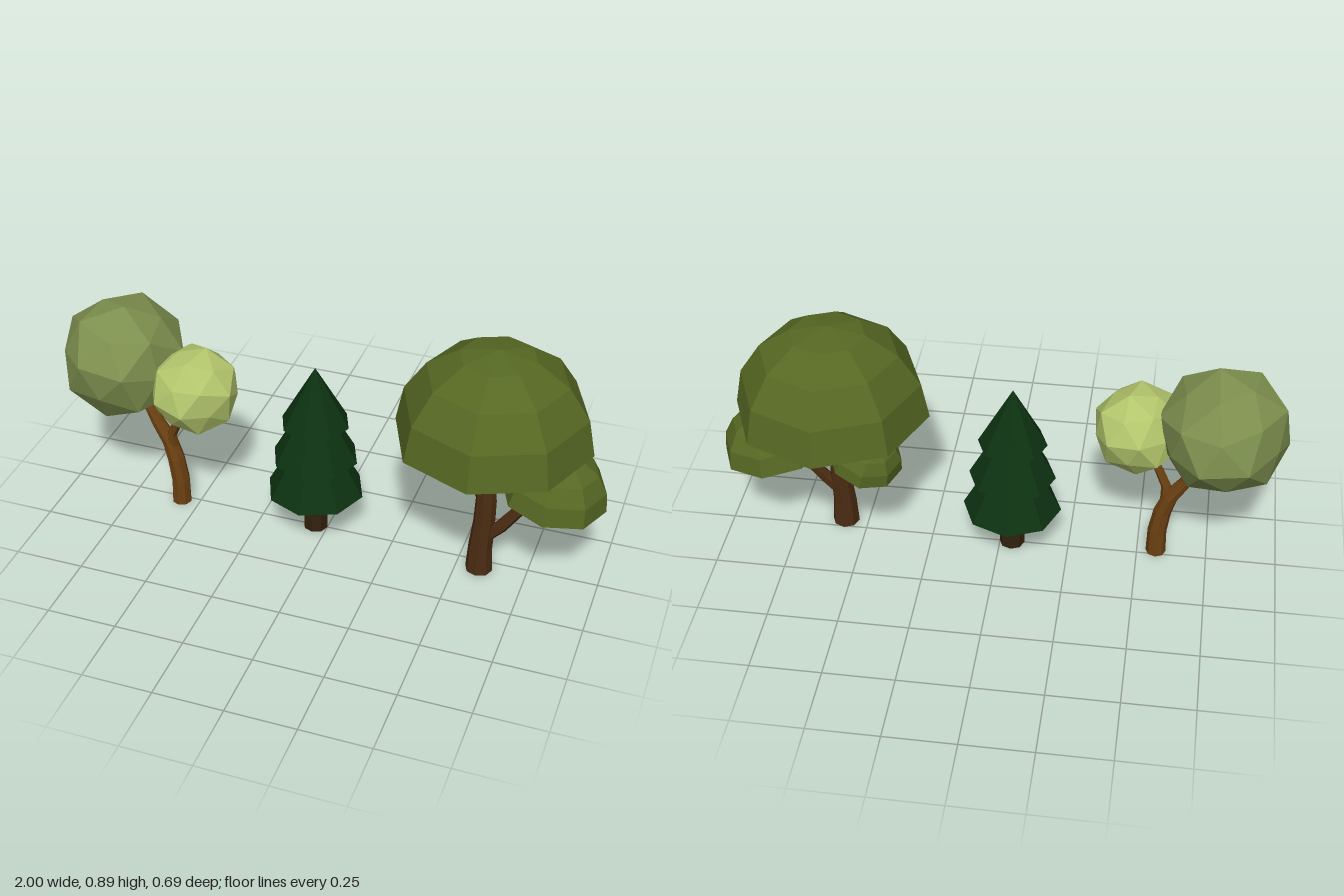
import * as THREE from 'three';
import { ConvexGeometry } from 'three/addons/geometries/ConvexGeometry.js';

function material(name, color, side = THREE.FrontSide) {
  const m = new THREE.MeshStandardMaterial({ color, flatShading: true, side });
  m.name = name;
  return m;
}

function part(name, geometry, mat, x = 0, y = 0, z = 0) {
  const mesh = new THREE.Mesh(geometry, mat);
  mesh.name = name;
  mesh.position.set(x, y, z);
  return mesh;
}

// Tapered faceted limb through points [x, y, z, radius], capped at both ends
function limbGeometry(points, sides = 8) {
  const centres = points.map(p => new THREE.Vector3(p[0], p[1], p[2]));
  const up = new THREE.Vector3(0, 1, 0);
  const last = points.length - 1;
  const pos = [], index = [];
  centres.forEach((c, k) => {
    const tangent = centres[Math.min(k + 1, last)].clone().sub(centres[Math.max(k - 1, 0)]).normalize();
    const q = new THREE.Quaternion().setFromUnitVectors(up, tangent);
    for (let i = 0; i < sides; i++) {
      const a = (i / sides) * Math.PI * 2;
      const v = new THREE.Vector3(Math.cos(a), 0, -Math.sin(a)).multiplyScalar(points[k][3]);
      pos.push(...v.applyQuaternion(q).add(c).toArray());
    }
  });
  const bottom = pos.length / 3, top = bottom + 1;
  pos.push(...centres[0].toArray(), ...centres[last].toArray());
  for (let i = 0; i < sides; i++) {
    const j = (i + 1) % sides;
    for (let k = 0; k < last; k++) {
      const a = k * sides, b = a + sides;
      index.push(a + i, a + j, b + j, a + i, b + j, b + i);
    }
    index.push(bottom, j, i, top, last * sides + i, last * sides + j);
  }
  const g = new THREE.BufferGeometry();
  g.setAttribute('position', new THREE.Float32BufferAttribute(pos, 3));
  g.setIndex(index);
  const flat = g.toNonIndexed();
  flat.computeVertexNormals();
  return flat;
}

// Faceted leaf ball: dodecahedron corners plus slightly raised face centres
function leafBall(radius) {
  const t = (1 + Math.sqrt(5)) / 2, pts = [];
  const add = (x, y, z, r) => pts.push(new THREE.Vector3(x, y, z).setLength(r));
  for (const a of [-1, 1]) for (const b of [-1, 1]) {
    for (const c of [-1, 1]) add(a, b, c, radius);
    add(0, a / t, b * t, radius);
    add(a / t, b * t, 0, radius);
    add(a * t, 0, b / t, radius);
    add(a, 0, b * t, radius * 0.92);
    add(0, a * t, b, radius * 0.92);
    add(a * t, b, 0, radius * 0.92);
  }
  return new ConvexGeometry(pts);
}

// Open half-sphere canopy
const dome = r => new THREE.SphereGeometry(r, 8, 4, 0, Math.PI * 2, 0, Math.PI / 2);

function roundTree() {
  const g = new THREE.Group();
  g.name = 'roundTree';
  const bark = material('warm bark', 0x6b4012);
  g.add(part('roundTreeTrunk', limbGeometry([
    [-0.568, 0, 0.02, 0.036], [-0.568, 0.1, 0.02, 0.034], [-0.582, 0.19, 0.02, 0.032],
    [-0.605, 0.26, 0.015, 0.029], [-0.65, 0.33, 0.01, 0.024], [-0.70, 0.42, 0, 0.018]]), bark));
  g.add(part('roundTreeBranch', limbGeometry([
    [-0.59, 0.23, 0.02, 0.02], [-0.588, 0.3, 0.025, 0.018],
    [-0.56, 0.36, 0.035, 0.016], [-0.52, 0.43, 0.045, 0.012]], 6), bark));
  const big = part('largeLeafBall', leafBall(0.232), material('sage leaves', 0x7d8f4e), -0.77, 0.585, 0);
  big.rotation.set(0.25, 0.5, 0.2);
  const small = part('smallLeafBall', leafBall(0.165), material('light leaves', 0xb3c66c), -0.478, 0.53, 0.047);
  small.rotation.set(0.5, 0.2, 0.35);
  g.add(big, small);
  return g;
}

function pineTree() {
  const g = new THREE.Group();
  g.name = 'pineTree';
  g.position.x = -0.044;
  const needles = material('dark needles', 0x0d3212, THREE.DoubleSide);
  g.add(part('pineTrunk', new THREE.CylinderGeometry(0.045, 0.045, 0.4, 8),
    material('dark bark', 0x33220f), 0, 0.2, 0));
  // Stacked open cones: rim height, rim radius, tip height
  [[0.17, 0.177, 0.5], [0.312, 0.155, 0.6], [0.455, 0.123, 0.68]].forEach(([y, r, tip], i) => {
    g.add(part('pineTier' + (i + 1), new THREE.ConeGeometry(r, tip - y, 8, 1, true), needles, 0, (y + tip) / 2, 0));
  });
  return g;
}

function umbrellaTree() {
  const g = new THREE.Group();
  g.name = 'umbrellaTree';
  const bark = material('brown bark', 0x4a2c12);
  const leaves = material('olive leaves', 0x566823, THREE.DoubleSide);
  g.add(part('umbrellaTrunk', limbGeometry([
    [0.583, 0, 0.042, 0.049], [0.583, 0.1, 0.041, 0.043], [0.59, 0.2, 0.038, 0.039],
    [0.592, 0.3, 0.036, 0.037], [0.583, 0.4, 0.034, 0.033], [0.587, 0.54, 0.03, 0.028],
    [0.59, 0.66, 0.025, 0.02]]), bark));
  g.add(part('rightSideBranch', limbGeometry([
    [0.59, 0.29, 0.035, 0.022], [0.54, 0.335, 0.01, 0.019],
    [0.49, 0.39, -0.05, 0.016], [0.45, 0.435, -0.09, 0.012]], 6), bark));
  g.add(part('leftSideBranch', limbGeometry([
    [0.6, 0.15, 0.04, 0.026], [0.65, 0.2, 0.04, 0.024], [0.71, 0.28, 0.03, 0.021],
    [0.78, 0.35, 0.015, 0.018], [0.83, 0.42, 0, 0.013]], 6), bark));
  g.add(part('mainCanopy', dome(0.345), leaves, 0.593, 0.54, 0));
  const left = part('leftCanopy', dome(0.184), leaves, 0.817, 0.346, 0);
  left.rotation.z = -0.12;
  const right = part('rightCanopy', dome(0.13), leaves, 0.462, 0.4, -0.098);
  right.rotation.set(-0.2, 0, 0.26);
  g.add(left, right);
  return g;
}

export function createModel() {
  const model = new THREE.Group();
  model.name = 'lowPolyTrees';
  model.add(roundTree(), pineTree(), umbrellaTree());
  return model;
}
